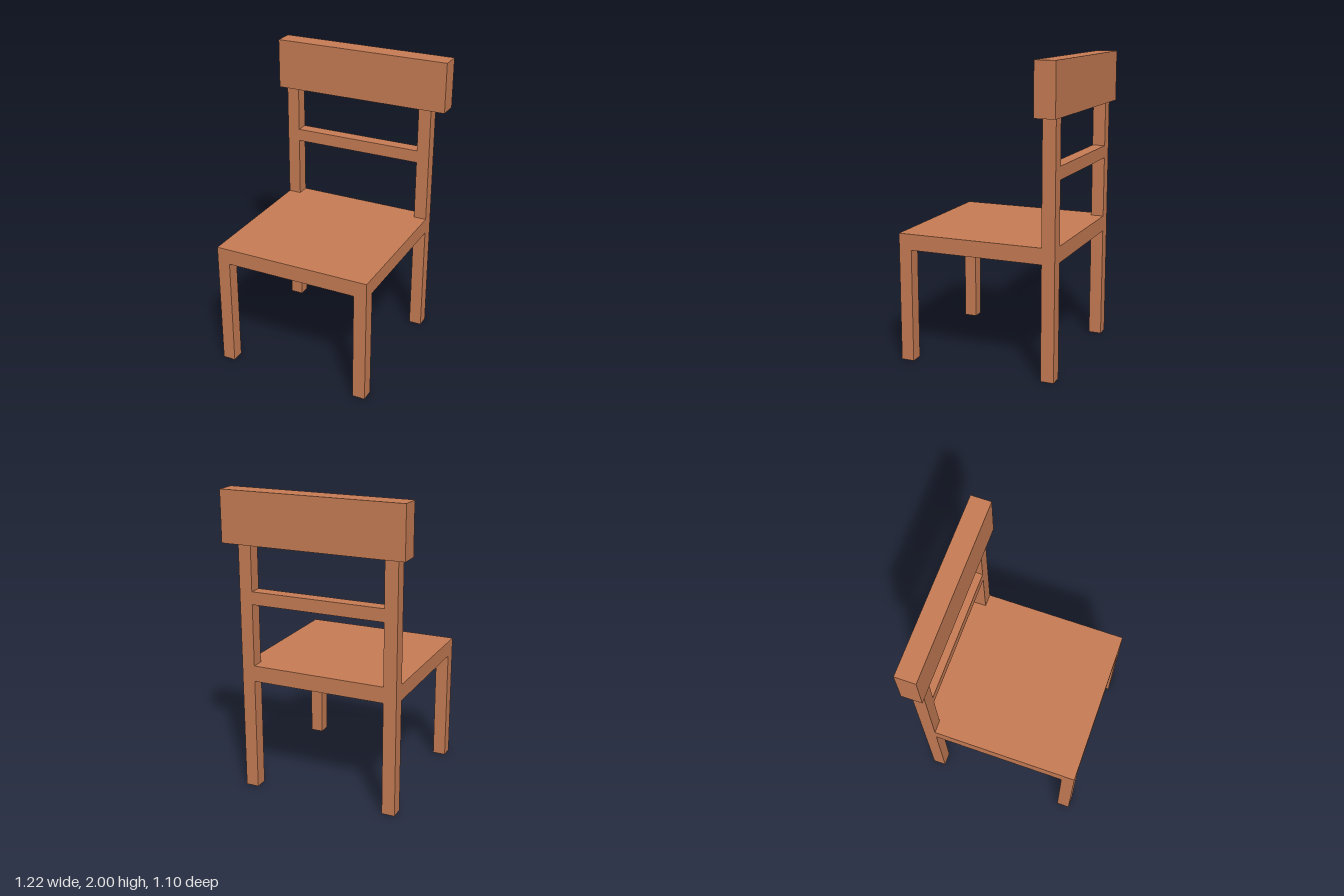
import * as THREE from 'three';

export function createModel() {
  const model = new THREE.Group();
  const wood = new THREE.MeshStandardMaterial({ color: 0xc87d55, flatShading: true });

  // Key dimensions: the frame sits slightly off the centre of the top board
  const left = 0.513, right = -0.56, front = 0.55, back = -0.522;
  const leg = 0.087;
  const seatBottom = 0.757, seatTop = 0.863, boardBottom = 1.662;

  // Box given by its limits on each axis
  function addBox(name, [x0, x1], [y0, y1], [z0, z1]) {
    const mesh = new THREE.Mesh(new THREE.BoxGeometry(x1 - x0, y1 - y0, z1 - z0), wood);
    mesh.position.set((x0 + x1) / 2, (y0 + y1) / 2, (z0 + z1) / 2);
    mesh.name = name;
    model.add(mesh);
  }

  // Front legs stop under the seat, back posts rise to the top board
  for (const [side, x] of [['Left', left - leg], ['Right', right]]) {
    addBox('frontLeg' + side, [x, x + leg], [0, seatBottom], [front - leg, front]);
    addBox('backPost' + side, [x, x + leg], [0, boardBottom], [back, back + leg]);
  }

  // Seat slab, notched at the rear corners around the posts (drawn as x, -z)
  const outline = [
    [right, -front], [left, -front], [left, -back - leg], [left - leg, -back - leg],
    [left - leg, -back], [right + leg, -back], [right + leg, -back - leg], [right, -back - leg],
  ].map(([x, y]) => new THREE.Vector2(x, y));
  const seatGeometry = new THREE.ExtrudeGeometry(new THREE.Shape(outline), {
    depth: seatTop - seatBottom, bevelEnabled: false,
  });
  seatGeometry.rotateX(-Math.PI / 2);
  const seat = new THREE.Mesh(seatGeometry, wood);
  seat.position.y = seatBottom;
  seat.name = 'seat';
  model.add(seat);

  // Backrest: thin rail between the posts and wide board on top
  addBox('backRail', [right + leg, left - leg], [1.275, 1.36], [back, back + leg]);
  addBox('topBoard', [-0.612, 0.612], [boardBottom, 2], [-0.553, -0.417]);

  return model;
}
